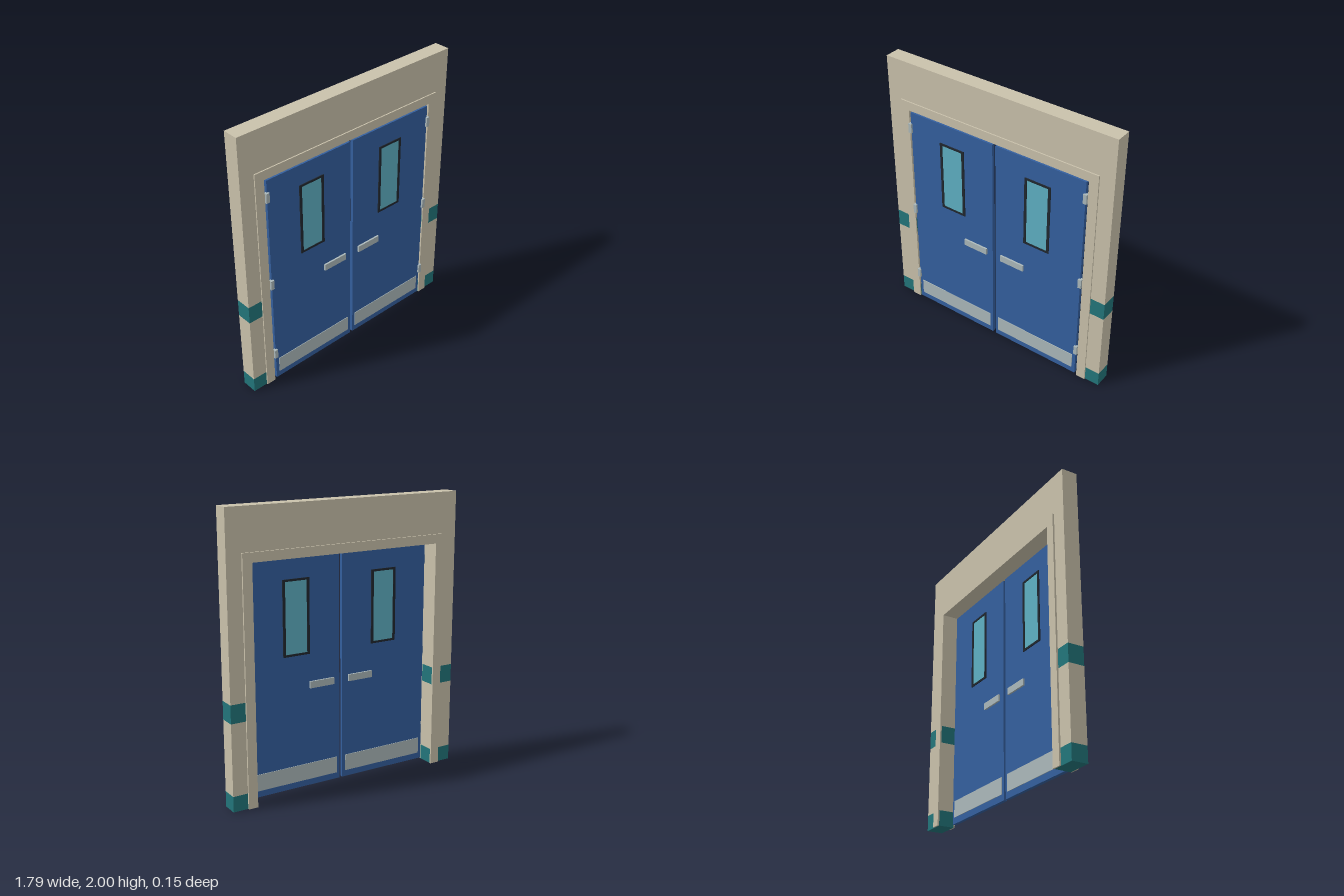
import * as THREE from 'three';

const mat = (name, color) => {
  const m = new THREE.MeshStandardMaterial({ color });
  m.name = name;
  return m;
};

export function createModel() {
  const cream = mat('cream wall', 0xc9c1ab);
  const teal = mat('teal band', 0x22757a);
  const blue = mat('blue door', 0x345f9e);
  const steel = mat('brushed steel', 0xabb8ba);
  const black = mat('dark window frame', 0x20272f);
  const glass = mat('window glass', 0x5eb0c3);

  const root = new THREE.Group();
  root.name = 'doubleDoor';

  // Box given by its minimum and maximum on each axis
  const box = (parent, name, material, x0, x1, y0, y1, z0, z1) => {
    const mesh = new THREE.Mesh(new THREE.BoxGeometry(x1 - x0, y1 - y0, z1 - z0), material);
    mesh.position.set((x0 + x1) / 2, (y0 + y1) / 2, (z0 + z1) / 2);
    mesh.name = name;
    parent.add(mesh);
    return mesh;
  };
  // The same box on the left (+x) or right (-x) side
  const sideBox = (parent, side, name, material, x0, x1, ...rest) =>
    side > 0 ? box(parent, name, material, x0, x1, ...rest)
      : box(parent, name, material, -x1, -x0, ...rest);

  const extrude = (parent, name, material, shape, z0, depth) => {
    const mesh = new THREE.Mesh(
      new THREE.ExtrudeGeometry(shape, { depth, bevelEnabled: false }), material);
    mesh.position.z = z0;
    mesh.name = name;
    parent.add(mesh);
  };

  const wallX = 0.893, openX = 0.718, openY = 1.645;
  const wallBack = -0.063, wallFront = 0.051;
  const doorBack = 0.036, doorFront = 0.061;

  // Wall: lintel plus pillars with coloured bands that wrap all the way round
  box(root, 'lintel', cream, -wallX, wallX, openY, 2, wallBack, wallFront);
  const levels = [0, 0.11, 0.612, 0.74, openY];
  for (const side of [1, -1]) {
    const pillar = new THREE.Group();
    pillar.name = side > 0 ? 'leftPillar' : 'rightPillar';
    root.add(pillar);
    for (let i = 0; i < 4; i++) {
      sideBox(pillar, side, i % 2 ? 'pillarWall' : 'pillarBand', i % 2 ? cream : teal,
        openX, wallX, levels[i], levels[i + 1], wallBack, wallFront);
    }
  }

  // Door casing: thin arch on both wall faces
  const arch = new THREE.Shape([
    [-0.786, 0], [-openX, 0], [-openX, openY], [openX, openY],
    [openX, 0], [0.786, 0], [0.786, 1.71], [-0.786, 1.71],
  ].map(([x, y]) => new THREE.Vector2(x, y)));
  extrude(root, 'frontCasing', cream, arch, wallFront, 0.009);
  extrude(root, 'backCasing', cream, arch, wallBack - 0.012, 0.012);

  // Window surround: rectangular ring
  const rect = (Type, x0, x1, y0, y1) => new Type([
    new THREE.Vector2(x0, y0), new THREE.Vector2(x1, y0),
    new THREE.Vector2(x1, y1), new THREE.Vector2(x0, y1)]);

  for (const side of [1, -1]) {
    const door = new THREE.Group();
    door.name = side > 0 ? 'leftDoor' : 'rightDoor';
    root.add(door);
    sideBox(door, side, 'doorLeaf', blue, 0.012, 0.703, 0.015, 1.635, doorBack, doorFront);

    const wx = side > 0 ? [0.248, 0.45] : [-0.45, -0.248];
    const ring = rect(THREE.Shape, wx[0], wx[1], 0.965, 1.49);
    ring.holes.push(rect(THREE.Path, wx[0] + 0.019, wx[1] - 0.019, 0.98, 1.475));

    // Fittings repeated on both faces of the leaf
    for (const front of [true, false]) {
      const span = (d) => front ? [doorFront, doorFront + d] : [doorBack - d, doorBack];
      extrude(door, 'windowFrame', black, ring, span(0.006)[0], 0.006);
      sideBox(door, side, 'windowGlass', glass, 0.267, 0.431, 0.98, 1.475, ...span(0.002));
      sideBox(door, side, 'kickPlate', steel, 0.035, 0.678, 0.06, 0.178, ...span(0.004));
      sideBox(door, side, 'pushPlate', steel, 0.06, 0.252, 0.722, 0.77, ...span(0.013));
    }

    // Hinges on the front only
    for (const y of [0.24, 0.84, 1.515]) {
      sideBox(door, side, 'hinge', steel, 0.692, 0.718, y - 0.035, y + 0.035, 0.05, 0.075);
    }
  }
  return root;
}
